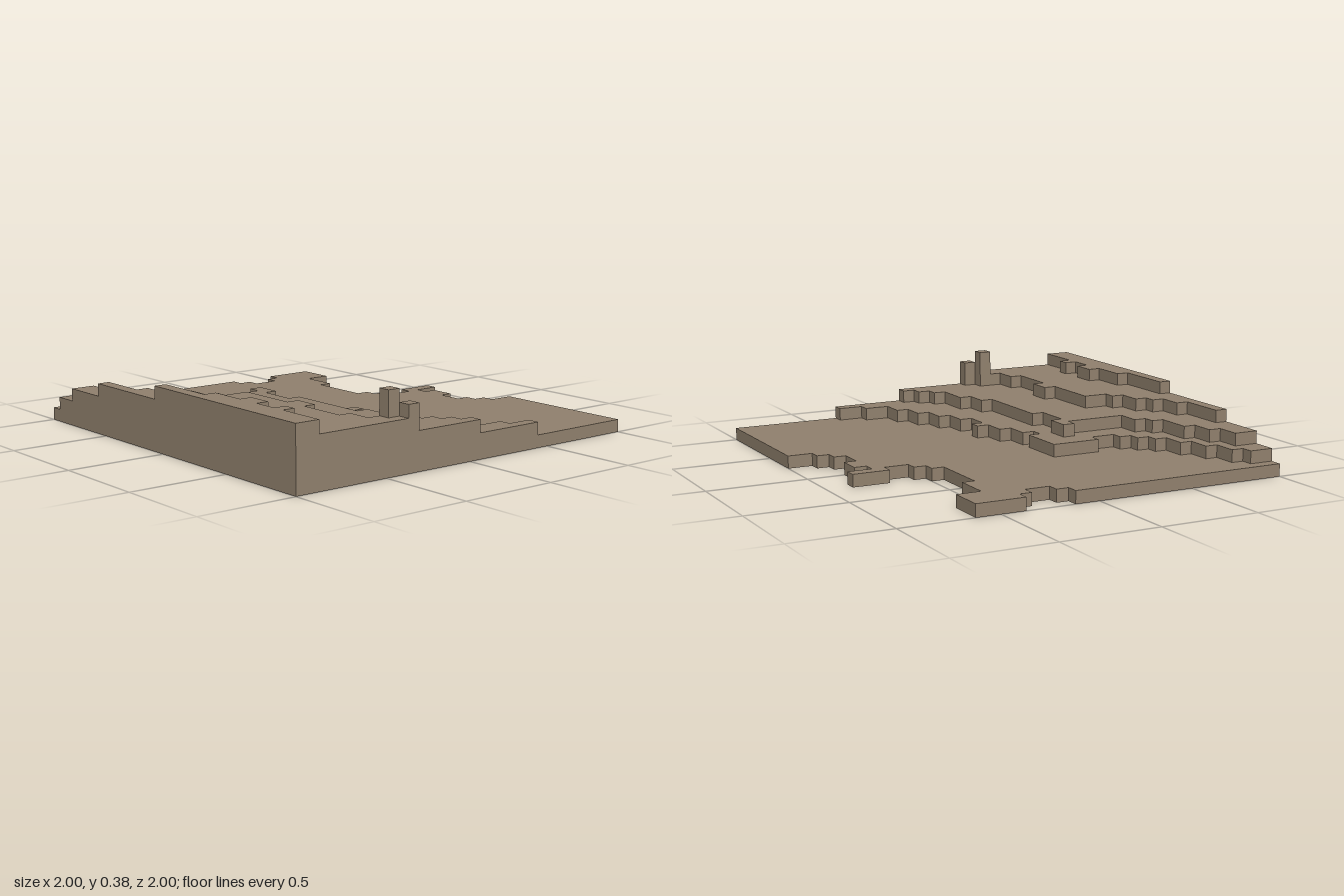
import * as THREE from 'three';

const CELL = 1 / 16; // the terrain is a 32 x 32 grid of cells

// Each terrace edge starts on the +x border at row `start`, then lists
// alternating column, row, column, row ... until it meets the front border.
const terraces = [
  { name: 'groundLayer', start: 0, edge: [20, 2, 19, 3, 18, 4, 16, 3, 14, 4, 13, 2, 12, 5, 13, 7, 12, 8, 11, 9,
    6, 8, 3, 6, 0, 10, 1, 11, 2, 13, 1, 14, 0, 32] },
  { name: 'secondTerrace', start: 9, edge: [31, 11, 30, 13, 28, 14, 26, 15, 24, 16, 22, 17, 20, 16, 19, 17, 17, 18,
    15, 19, 14, 18, 10, 22, 11, 24, 10, 25, 9, 26, 8, 27, 6, 28, 4, 29, 2, 30, 1, 32] },
  { name: 'thirdTerrace', start: 15, edge: [31, 16, 30, 17, 29, 18, 26, 19, 24, 20, 17, 21, 14, 20, 12, 21, 13, 26,
    11, 27, 10, 28, 7, 29, 5, 30, 3, 32] },
  { name: 'fourthTerrace', start: 21, edge: [31, 22, 30, 24, 28, 25, 24, 24, 22, 25, 17, 27, 16, 28, 14, 29, 13, 30,
    11, 31, 7, 32] },
  { name: 'topTerrace', start: 30, edge: [28, 29, 27, 30, 25, 29, 23, 30, 20, 31, 15, 32] },
];

// Flat slab one cell high, bounded by a stepped edge
function terraceGeometry(start, edge, level) {
  const at = (col, row) => new THREE.Vector2(col * CELL - 1, 1 - row * CELL);
  const points = [at(32, start)];
  let row = start;
  for (let i = 0; i < edge.length; i += 2) {
    points.push(at(edge[i], row));
    row = edge[i + 1];
    points.push(at(edge[i], row));
  }
  points.push(at(32, 32));
  const geometry = new THREE.ExtrudeGeometry(new THREE.Shape(points), { depth: CELL, bevelEnabled: false });
  return geometry.rotateX(-Math.PI / 2).translate(0, level * CELL, 0);
}

export function createModel() {
  const group = new THREE.Group();
  group.name = 'steppedTerrain';
  const earth = new THREE.MeshStandardMaterial({ color: 0x8f7f6c });
  earth.name = 'earthBrown';

  const add = (name, geometry) => {
    const mesh = new THREE.Mesh(geometry, earth);
    mesh.name = name;
    group.add(mesh);
    return mesh;
  };

  // Terraces rising towards the front
  terraces.forEach(({ name, start, edge }, level) => add(name, terraceGeometry(start, edge, level)));

  // Two small posts standing on the fourth terrace
  const addPost = (name, col, row, height) =>
    add(name, new THREE.BoxGeometry(CELL, height * CELL, CELL))
      .position.set((col + 0.5) * CELL - 1, (4 + height / 2) * CELL, (row + 0.5) * CELL - 1);
  addPost('shortPost', 31, 21, 1);
  addPost('tallPost', 30, 22, 2);

  return group;
}
